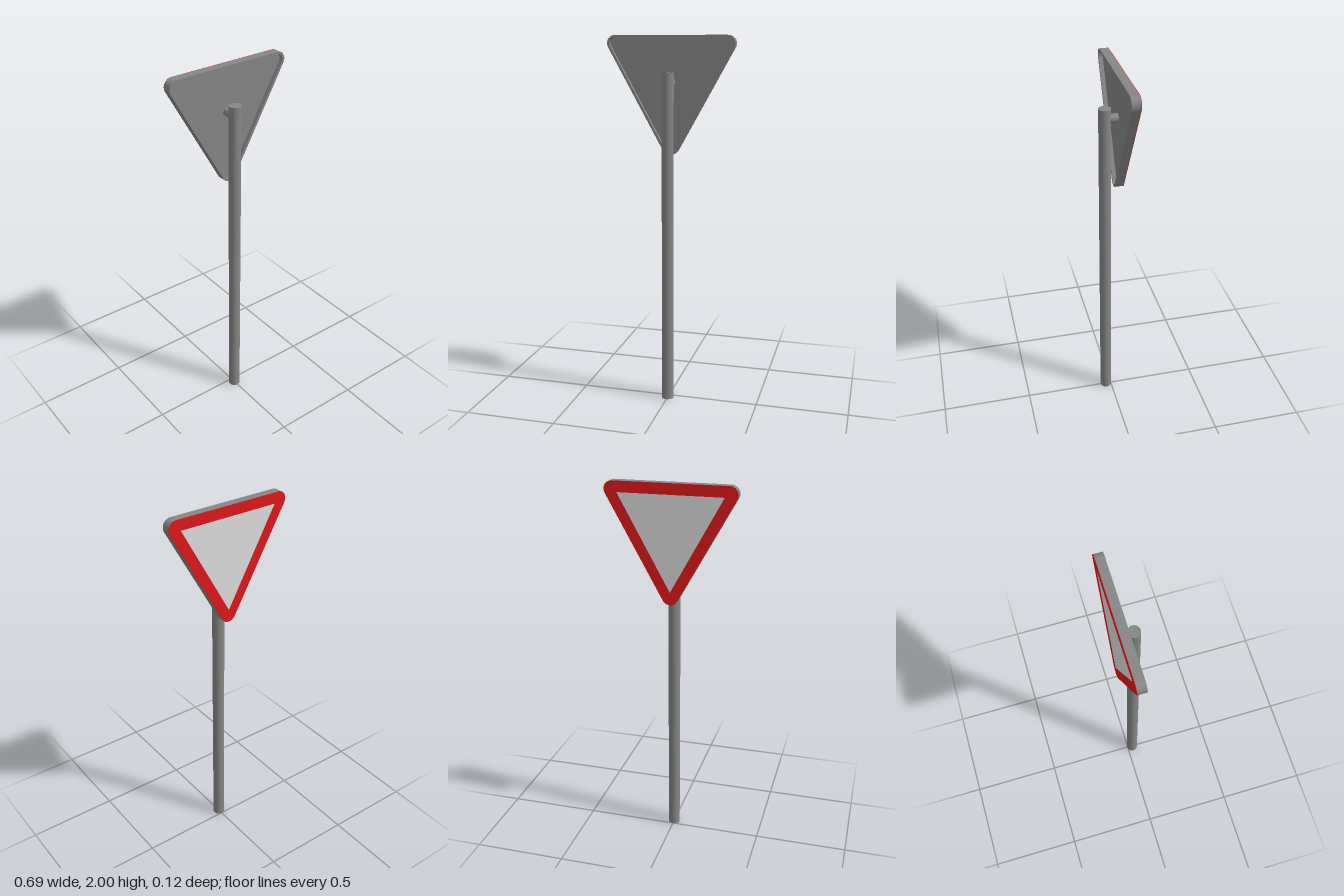
import * as THREE from 'three';

const material = (name, color) => {
  const m = new THREE.MeshStandardMaterial({ color });
  m.name = name;
  return m;
};

// Triangle pointing down with rounded corners; inset shrinks it evenly
function roundedTriangle(target, inset = 0) {
  const r = 0.043 - inset;
  const cx = 0.301, top = 1.957, bottom = 1.416;
  const slope = Math.atan2(cx, top - bottom);
  target.absarc(cx, top, r, -slope, Math.PI / 2, false);
  target.absarc(-cx, top, r, Math.PI / 2, Math.PI + slope, false);
  target.absarc(0, bottom, r, Math.PI + slope, 2 * Math.PI - slope, false);
  target.closePath();
  return target;
}

function pointedTriangle(target) {
  target.moveTo(-0.277, 1.943);
  target.lineTo(0, 1.441);
  target.lineTo(0.277, 1.943);
  target.closePath();
  return target;
}

export function createModel() {
  const group = new THREE.Group();
  const grey = material('grey metal', 0x868686);
  const red = material('red border paint', 0xe2181a);
  const white = material('white face paint', 0xdedede);

  const add = (name, geometry, mat, x, y, z) => {
    const mesh = new THREE.Mesh(geometry, mat);
    mesh.name = name;
    mesh.position.set(x, y, z);
    group.add(mesh);
    return mesh;
  };
  const slab = (shape, depth) =>
    new THREE.ExtrudeGeometry(shape, { depth, bevelEnabled: false, curveSegments: 10 });

  // Post and the short stub that reaches into the recessed plate
  add('post', new THREE.CylinderGeometry(0.032, 0.032, 1.81, 32), grey, 0, 0.905, 0.03);
  const bracket = add('bracket', new THREE.CylinderGeometry(0.023, 0.023, 0.056, 24), grey, 0.001, 1.755, -0.011);
  bracket.rotation.x = Math.PI / 2;

  // Sign plate with a folded rim standing up around its post side
  add('signPlate', slab(roundedTriangle(new THREE.Shape()), 0.023), grey, 0, 0, -0.06);
  const rim = roundedTriangle(new THREE.Shape());
  rim.holes.push(roundedTriangle(new THREE.Path(), 0.013));
  add('plateRim', slab(rim, 0.022), grey, 0, 0, -0.037);

  // Painted border and centre on the far side
  const border = roundedTriangle(new THREE.Shape());
  border.holes.push(pointedTriangle(new THREE.Path()));
  add('signBorder', slab(border, 0.002), red, 0, 0, -0.062);
  add('signCentre', slab(pointedTriangle(new THREE.Shape()), 0.002), white, 0, 0, -0.062);

  return group;
}
